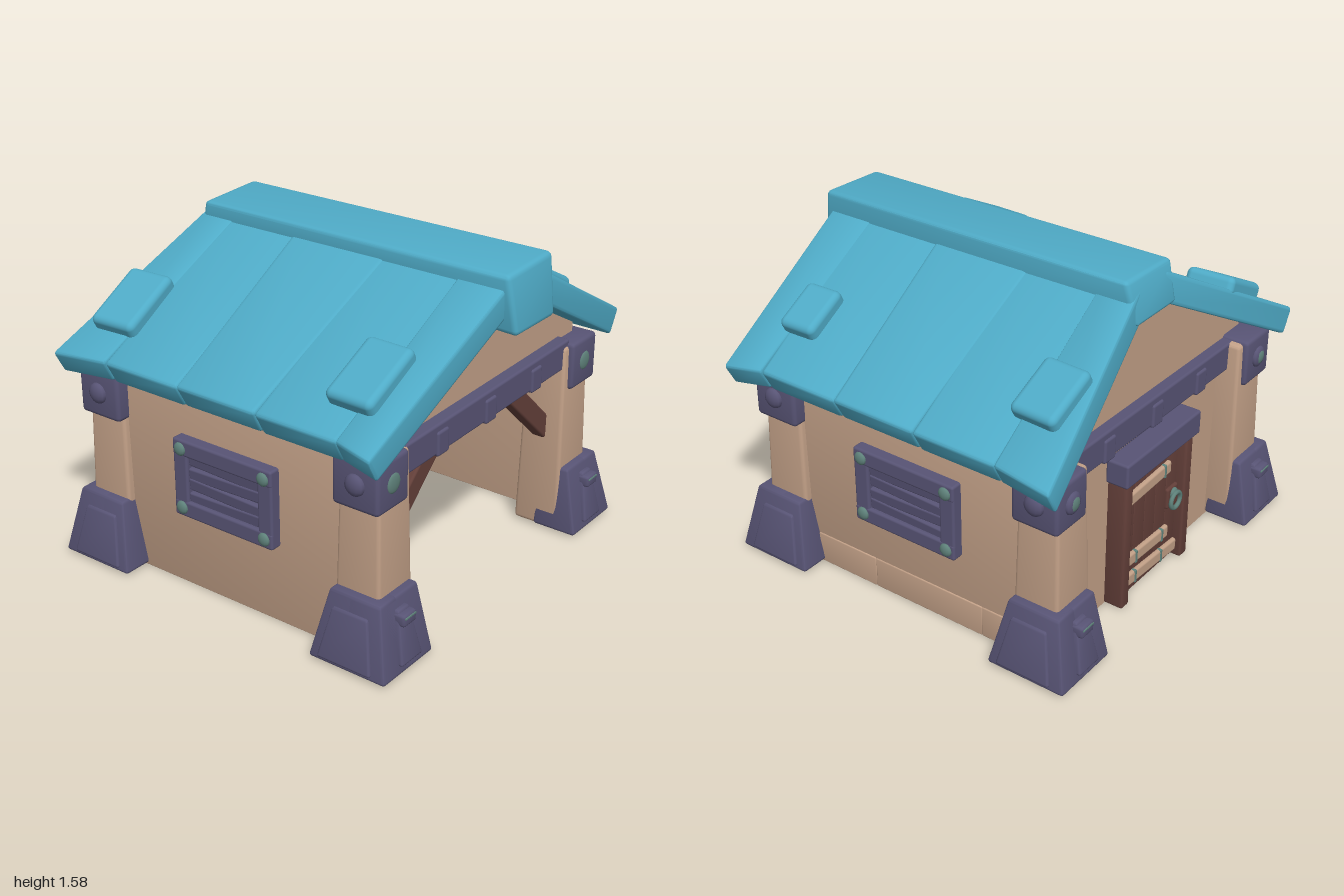
import * as THREE from 'three';
import { RoundedBoxGeometry } from 'three/addons/geometries/RoundedBoxGeometry.js';
import { toCreasedNormals } from 'three/addons/utils/BufferGeometryUtils.js';

const paint = (name, color) => Object.assign(new THREE.MeshStandardMaterial({ color }), { name });
const roofBlue = paint('roofBlue', 0x4fabc7);
const slate = paint('slatePurple', 0x585475);
const plaster = paint('plasterTan', 0xc2a087);
const wood = paint('darkWood', 0x633f39);
const metal = paint('greenMetal', 0x5f827b);

const lerp = THREE.MathUtils.lerp;

function add(parent, name, geometry, material) {
  const mesh = new THREE.Mesh(geometry, material);
  mesh.name = name;
  parent.add(mesh);
  return mesh;
}

// Rounded box whose vertices (given as 0..1 fractions) are moved by a rule
function warped(w, h, d, r, rule) {
  const g = new RoundedBoxGeometry(w, h, d, 2, r);
  const p = g.attributes.position;
  for (let i = 0; i < p.count; i++) {
    p.setXYZ(i, ...rule(p.getX(i) / w + 0.5, p.getY(i) / h + 0.5, p.getZ(i) / d + 0.5));
  }
  return toCreasedNormals(g, 0.6);
}

// Block between two heights with bottom and top rectangles [x0, x1, z0, z1], mirrored by signs
function block(parent, name, mat, y0, y1, bottom, top = bottom, sx = 1, sz = 1, r = 0.012) {
  const sorted = ([a, b, c, d]) => [
    Math.min(a * sx, b * sx), Math.max(a * sx, b * sx), Math.min(c * sz, d * sz), Math.max(c * sz, d * sz)];
  const lo = sorted(bottom), hi = sorted(top);
  const w = lo[1] - lo[0], d = lo[3] - lo[2];
  const radius = Math.min(r, w * 0.3, d * 0.3, (y1 - y0) * 0.3);
  return add(parent, name, warped(w, y1 - y0, d, radius, (u, v, t) => [
    lerp(lerp(lo[0], lo[1], u), lerp(hi[0], hi[1], u), v),
    lerp(y0, y1, v),
    lerp(lerp(lo[2], lo[3], t), lerp(hi[2], hi[3], t), v)]), mat);
}

// Centred box that can be tilted
function bar(parent, name, mat, size, pos, rot = [0, 0, 0]) {
  const mesh = add(parent, name, new RoundedBoxGeometry(...size, 2, Math.min(0.012, Math.min(...size) * 0.3)), mat);
  mesh.position.set(...pos);
  mesh.rotation.set(...rot);
  return mesh;
}

// Flattened dome facing along one axis
function bolt(parent, mat, r, pos, axis, flat = 0.5) {
  const mesh = add(parent, 'bolt', new THREE.SphereGeometry(r, 12, 8), mat);
  mesh.position.set(...pos);
  mesh.scale[axis] = flat;
}

// Gable-topped wall, optionally with a doorway
function gableWall(parent, name, base, z, doorway) {
  const s = new THREE.Shape();
  s.moveTo(-0.79, base);
  if (doorway) {
    s.lineTo(-0.265, base).lineTo(-0.265, 0.7).lineTo(0.285, 0.7).lineTo(0.285, base);
  }
  s.lineTo(0.79, base).lineTo(0.79, 1.02).lineTo(0, 1.45).lineTo(-0.79, 1.02);
  const g = new THREE.ExtrudeGeometry(s, { depth: 0.05, bevelEnabled: false });
  add(parent, name, g, plaster).position.z = z;
}

function buildCorner(house, sx, sz) {
  const corner = new THREE.Group();
  corner.name = (sz > 0 ? 'front' : 'back') + (sx > 0 ? 'Left' : 'Right') + 'Corner';
  house.add(corner);
  const part = (name, mat, y0, y1, b, t, r) => block(corner, name, mat, y0, y1, b, t, sx, sz, r);
  part('post', plaster, 0.01, 0.955, [0.6, 0.85, 0.59, 0.83], [0.62, 0.83, 0.61, 0.81], 0.02);
  // The foot wraps the two outer sides of the post
  part('footSide', slate, 0.01, 0.34, [0.77, 0.95, 0.53, 0.93], [0.77, 0.885, 0.6, 0.86], 0.015);
  part('footFront', slate, 0.01, 0.34, [0.595, 0.95, 0.7, 0.93], [0.622, 0.885, 0.7, 0.86], 0.015);
  part('footFrontPlate', slate, 0.05, 0.29, [0.685, 0.835, 0.8, 0.94], [0.722, 0.798, 0.76, 0.89]);
  part('footSidePlate', slate, 0.03, 0.27, [0.8, 0.96, 0.58, 0.86], [0.8, 0.91, 0.63, 0.81]);
  part('footClip', slate, 0.222, 0.278, [0.715, 0.805, 0.85, 0.925]);
  part('footClipStripe', metal, 0.258, 0.268, [0.722, 0.798, 0.92, 0.928]);
  part('bracket', slate, 0.735, 0.968, [0.655, 0.872, 0.6, 0.835], undefined, 0.02);
  bolt(corner, slate, 0.05, [sx * 0.872, 0.855, sz * 0.72], 'x', 0.55);
  if (sz < 0) bolt(corner, slate, 0.052, [sx * 0.765, 0.855, -0.835], 'z', 0.4);
  bolt(corner, metal, 0.046, [sx * 0.765, 0.855, sz * 0.833], 'z', sz > 0 ? 0.25 : 0.55);
}

function buildWindow(house, sx) {
  const win = new THREE.Group();
  win.name = sx > 0 ? 'leftWindow' : 'rightWindow';
  house.add(win);
  const x = sx * 0.825;
  bar(win, 'windowBack', slate, [0.03, 0.32, 0.48], [sx * 0.81, 0.57, -0.01]);
  for (const y of [0.42, 0.72]) bar(win, 'windowRail', slate, [0.07, 0.08, 0.56], [x, y, -0.01]);
  for (const z of [-0.25, 0.23]) {
    bar(win, 'windowStile', slate, [0.066, 0.38, 0.08], [x, 0.57, z]);
    for (const y of [0.425, 0.715]) bolt(win, metal, 0.032, [sx * 0.86, y, z * 0.98], 'x');
  }
  for (let i = 0; i < 4; i++) {
    bar(win, 'windowSlat', slate, [0.03, 0.06, 0.41], [sx * 0.828, 0.48 + i * 0.06, -0.01], [(i % 2 - 0.5) * 0.06, 0, -sx * 0.1]);
  }
}

function buildBeam(house, sz) {
  const beam = new THREE.Group();
  beam.name = sz > 0 ? 'frontBeam' : 'backBeam';
  beam.position.set(0, 0.9, sz > 0 ? 0.75 : -0.705);
  beam.rotation.z = 0.02;
  house.add(beam);
  bar(beam, 'beam', slate, [1.36, 0.14, 0.1], [0, 0, 0]);
  for (const x of [-0.37, 0, 0.38]) bar(beam, 'beamClamp', slate, [0.085, 0.115, 0.05], [x, -0.02, sz * 0.035]);
}

function buildDoor(house) {
  const door = new THREE.Group();
  door.name = 'door';
  house.add(door);
  for (const x of [-0.24, 0.262]) block(door, 'doorJamb', wood, 0, 0.67, [x - 0.03, x + 0.03, -0.795, -0.69]);
  bar(door, 'lintel', slate, [0.61, 0.12, 0.115], [0.012, 0.722, -0.7575], [0, 0, 0.01]);
  // Planks of the leaf
  const n = 5, w = 0.45 / n;
  for (let i = 0; i < n; i++) {
    const x = -0.213 + i * w;
    block(door, 'doorPlank', wood, 0.015, 0.65, [x, x + w, -0.75, -0.71], undefined, 1, 1, 0.004);
  }
  // Straps run right through the leaf, so they show inside and outside
  for (const [y, x, len, tilt] of [[0.535, 0.075, 0.42, -0.03], [0.195, 0.075, 0.42, 0.04], [0.08, 0.01, 0.45, 0.06]]) {
    bar(door, 'strap', plaster, [len, 0.064, 0.09], [x, y, -0.724], [0, 0, tilt]);
    bar(door, 'strapBand', metal, [0.016, 0.068, 0.096], [-0.08, y + tilt * (-0.08 - x), -0.724]);
    if (y < 0.3) bar(door, 'strapBand', metal, [0.016, 0.068, 0.096], [0.14, y + tilt * (0.14 - x), -0.724]);
  }
  bar(door, 'hinge', slate, [0.05, 0.05, 0.02], [0.262, 0.53, -0.685]);
  bar(door, 'handlePlate', wood, [0.09, 0.11, 0.06], [-0.165, 0.36, -0.735]);
  bolt(door, metal, 0.028, [-0.165, 0.38, -0.768], 'z');
  add(door, 'ringHandle', new THREE.TorusGeometry(0.04, 0.011, 8, 20), metal).position.set(-0.165, 0.345, -0.78);
}

function buildRoof(root) {
  const roof = new THREE.Group();
  roof.name = 'roof';
  root.add(roof);
  const dx = 0.878, dy = -0.478; // slope direction
  // Seams as [z at the ridge, z at the eave]; the slope is longest at both ends
  const seams = [[-0.75, -0.92], [-0.6, -0.63], [-0.2, -0.21], [0.26, 0.22], [0.69, 0.64], [0.9, 0.83]];
  const lengths = [1.02, 0.985, 0.985, 0.985, 0.985, 1.025];
  for (const sx of [-1, 1]) {
    // Planks overlap at the ridge and part into notches at the eave
    for (let i = 0; i < 5; i++) {
      const g = warped(1.02, 0.13, 0.4, 0.018, (u, v, t) => {
        const s = sx > 0 ? u : 1 - u;
        const lap = 0.03 * (1 - s);
        const z0 = lerp(...seams[i], s) - (i > 0 ? lap : 0);
        const z1 = lerp(...seams[i + 1], s) + (i < 4 ? lap : 0);
        const along = lerp(lengths[i], lengths[i + 1], t) * s;
        const off = (v - 1) * 0.13 - (i % 2) * 0.005;
        return [sx * (0.1 + dx * along - dy * off), 1.53 + dy * along + dx * off, lerp(z0, z1, t)];
      });
      add(roof, 'roofPlank', g, roofBlue);
    }
    // Raised patch tiles
    const patches = sx > 0
      ? [[0.64, -0.685, 0.29, 0.23], [0.66, 0.595, 0.25, 0.19]]
      : [[0.68, -0.71, 0.34, 0.24], [0.68, 0.61, 0.34, 0.24]];
    for (const [x, z, w, d] of patches) {
      const y = 1.53 - (x - 0.1) * 0.545 + 0.015;
      const tile = add(roof, 'patchTile', new RoundedBoxGeometry(w, 0.09, d, 3, 0.03), roofBlue);
      tile.position.set(sx * x, y, z);
      tile.rotation.set(0, (z > 0 ? 0.03 : -0.05) * sx, -sx * 0.48);
    }
  }
  // Ridge cap with slanted ends, deep at the front and shallow at the back
  add(roof, 'ridgeCap', warped(0.34, 0.28, 1.7, 0.025, (u, v, t) => [
    0.015 + (u - 0.5) * lerp(0.31, 0.355, v) + 0.005 * (t - 0.5),
    lerp(lerp(1.38, 1.3, t), 1.575, v) + (u - 0.5) * 0.015 * v,
    lerp(lerp(-0.785, -0.735, v), lerp(0.955, 0.915, v), t)]), roofBlue);
}

export function createModel() {
  const root = new THREE.Group();
  root.name = 'hut';
  const house = new THREE.Group();
  house.name = 'house';
  house.position.set(-0.025, 0, -0.03);
  root.add(house);

  gableWall(house, 'frontGable', 0.9, 0.69, false);
  gableWall(house, 'backWall', 0, -0.7, true);

  for (const sx of [-1, 1]) {
    block(house, 'sideWall', plaster, 0, 1.02, [0.76, 0.805, -0.7, 0.74], undefined, sx, 1, 0.004);
    buildWindow(house, sx);
    bar(house, 'brace', wood, [0.5, 0.1, 0.07], [sx * 0.46, 0.68, 0.7], [0, 0, -sx * 0.74]);
    for (const sz of [-1, 1]) buildCorner(house, sx, sz);
  }
  // Low skirt along the left wall
  for (const [a, b] of [[-0.56, -0.4], [-0.4, 0.21], [0.21, 0.56]]) {
    block(house, 'wallSkirt', plaster, 0, 0.155, [0.78, 0.81, a, b], undefined, 1, 1, 0.006);
  }
  for (const sz of [-1, 1]) buildBeam(house, sz);
  buildDoor(house);
  buildRoof(root);
  return root;
}
